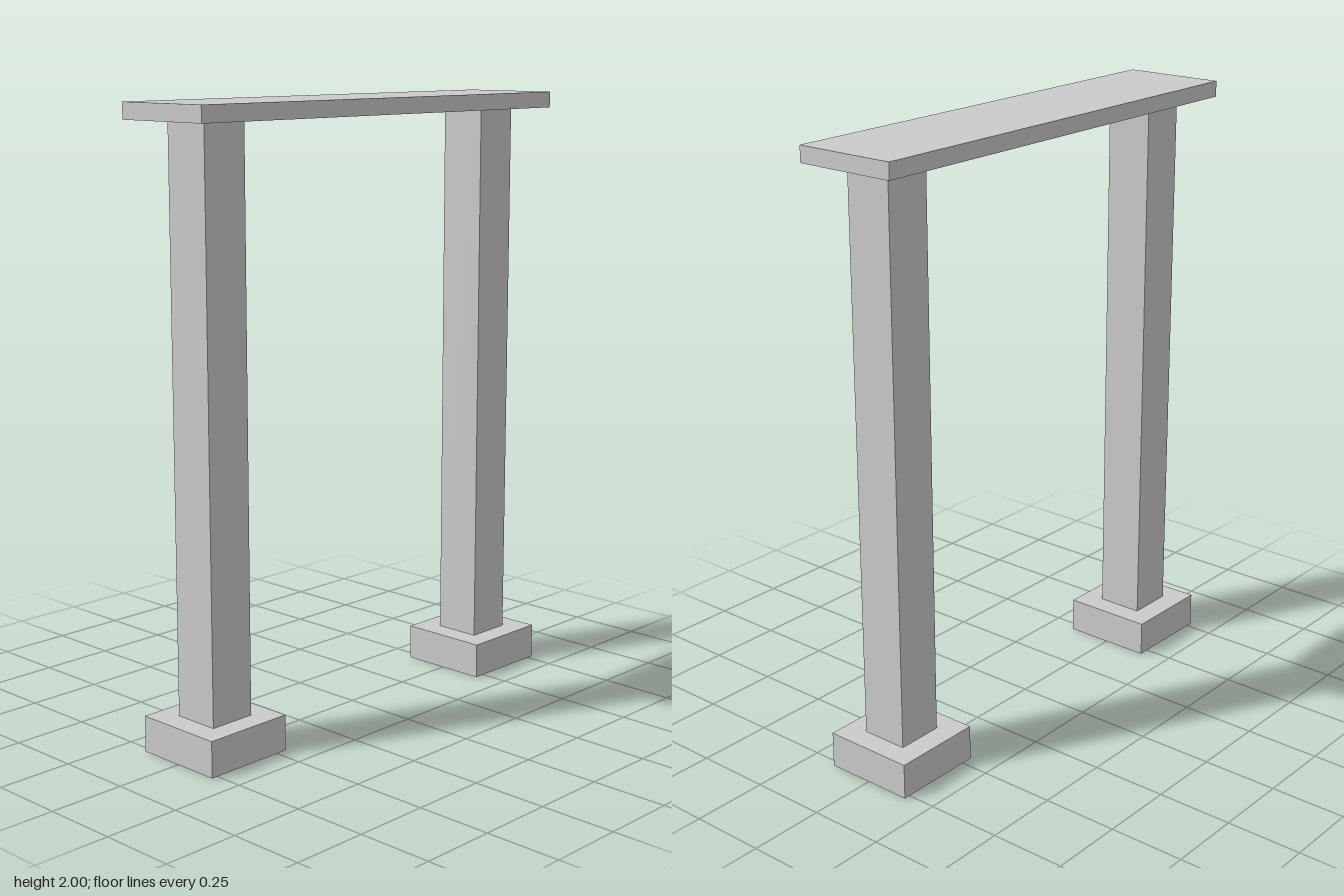
import * as THREE from 'three';

const BASE_TOP = 0.117;
const LINTEL_BOTTOM = 1.948;
const POST_X = 0.617;

export function createModel() {
  const group = new THREE.Group();
  const material = new THREE.MeshStandardMaterial({ color: 0xcccccc, flatShading: true });

  // Box spanning y0..y1, centred on x and z = 0
  const addBox = (name, width, depth, y0, y1, x = 0) => {
    const mesh = new THREE.Mesh(new THREE.BoxGeometry(width, y1 - y0, depth), material);
    mesh.name = name;
    mesh.position.set(x, (y0 + y1) / 2, 0);
    group.add(mesh);
  };

  // Two posts, each on a square footing
  for (const [side, sign] of [['left', 1], ['right', -1]]) {
    addBox(`${side}Footing`, 0.308, 0.308, 0, BASE_TOP, sign * POST_X);
    addBox(`${side}Post`, 0.158, 0.158, BASE_TOP, LINTEL_BOTTOM, sign * POST_X);
  }

  // Flat slab across the top
  addBox('lintel', 1.576, 0.344, LINTEL_BOTTOM, 2);

  return group;
}
